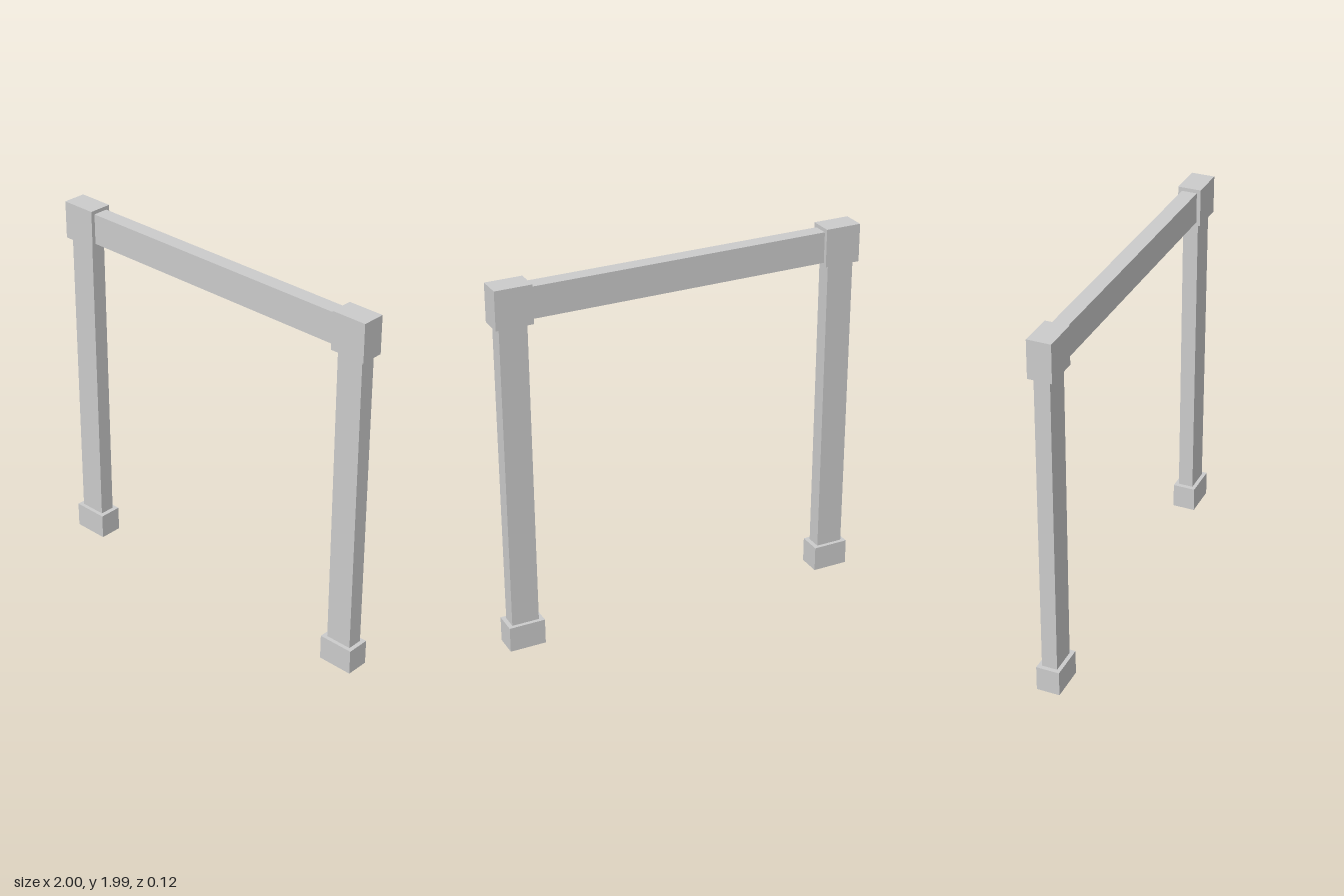
import * as THREE from 'three';

const material = new THREE.MeshStandardMaterial({ color: 0xcccccc, flatShading: true });

// Box given by its x and y extents, centred on z = 0
function block(name, x0, x1, y0, y1, depth) {
  const mesh = new THREE.Mesh(new THREE.BoxGeometry(x1 - x0, y1 - y0, depth), material);
  mesh.position.set((x0 + x1) / 2, (y0 + y1) / 2, 0);
  mesh.name = name;
  return mesh;
}

export function createModel() {
  const model = new THREE.Group();
  model.name = 'doorFrame';

  const blockDepth = 0.125;
  const barDepth = 0.083;

  // Each side: plinth, post and corner block
  for (const [side, s] of [['left', 1], ['right', -1]]) {
    const part = (name, inner, outer, y0, y1, depth) =>
      model.add(block(side + name, Math.min(s * inner, s * outer), Math.max(s * inner, s * outer), y0, y1, depth));
    part('Plinth', 0.805, 1, 0, 0.138, blockDepth);
    part('Post', 0.83, 0.977, 0.138, 1.787, barDepth);
    part('CornerBlock', 0.805, 1, 1.787, 1.99, blockDepth);
  }

  // Lintel between the corner blocks
  model.add(block('lintel', -0.805, 0.805, 1.805, 1.97, barDepth));

  return model;
}
